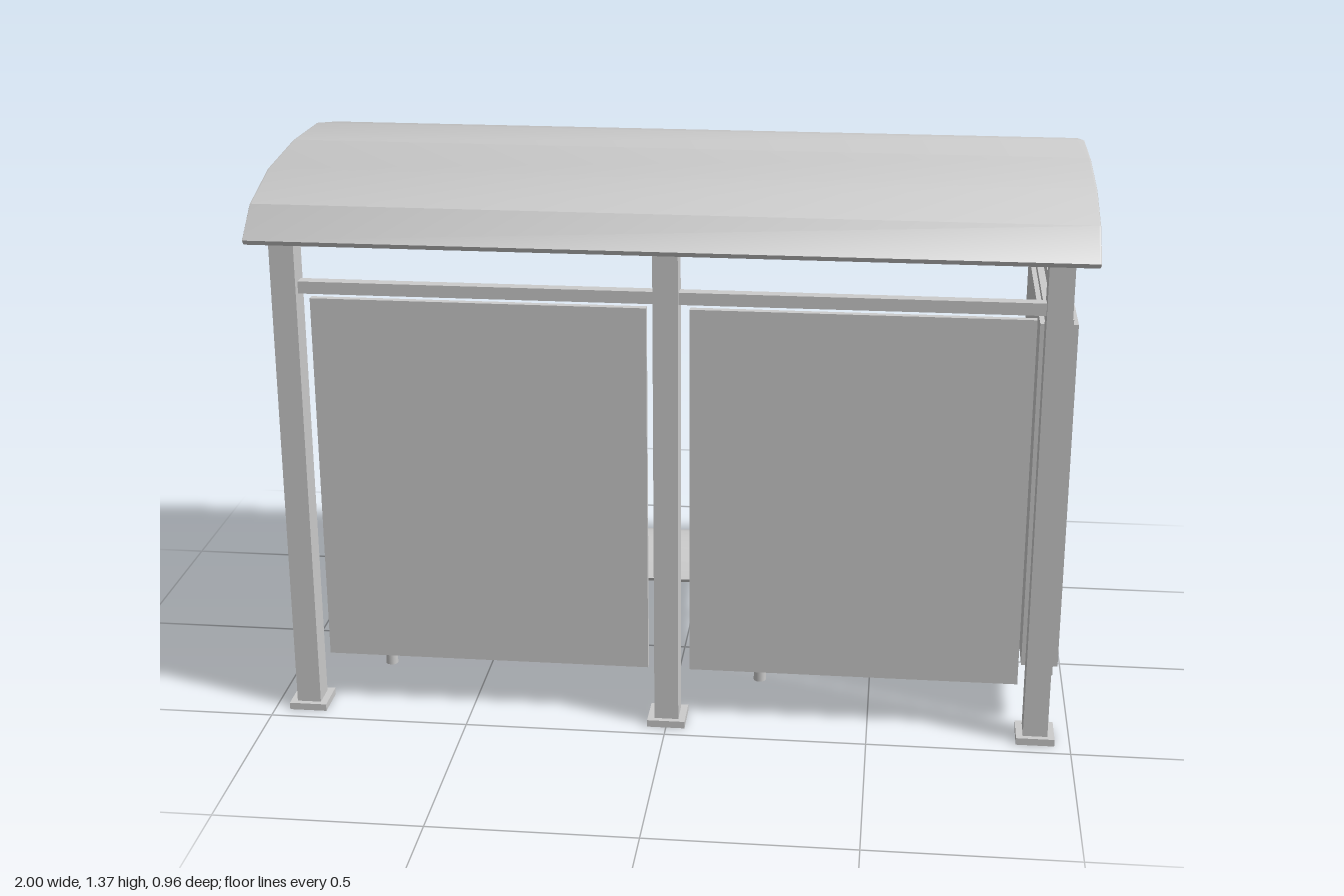
import * as THREE from 'three';
import { toCreasedNormals } from 'three/addons/utils/BufferGeometryUtils.js';

const material = new THREE.MeshStandardMaterial({ color: 0xcccccc });

function add(parent, name, geometry, x = 0, y = 0, z = 0) {
  const mesh = new THREE.Mesh(geometry, material);
  mesh.name = name;
  mesh.position.set(x, y, z);
  parent.add(mesh);
  return mesh;
}

// Box given by its limits on each axis
function block(parent, name, [x0, x1], [y0, y1], [z0, z1]) {
  return add(parent, name, new THREE.BoxGeometry(x1 - x0, y1 - y0, z1 - z0),
    (x0 + x1) / 2, (y0 + y1) / 2, (z0 + z1) / 2);
}

// Side profile of [z, y] points, extruded along x and centred on x = 0
function extrudeAlongX(points, length, bevel, crease) {
  const shape = new THREE.Shape(points.map(([z, y]) => new THREE.Vector2(z, y)));
  const geometry = new THREE.ExtrudeGeometry(shape, {
    depth: length - 2 * bevel, bevelEnabled: bevel > 0, bevelSize: bevel,
    bevelThickness: bevel, bevelOffset: -bevel, bevelSegments: 2,
  });
  geometry.translate(0, 0, bevel - length / 2);
  geometry.rotateY(-Math.PI / 2);
  return toCreasedNormals(geometry, crease);
}

function square(Type, half) {
  return new Type([[-1, -1], [1, -1], [1, 1], [-1, 1]]
    .map(([x, y]) => new THREE.Vector2(x * half, y * half)));
}

// Post with a slanted top, on a foot plate that is recessed underneath
function addPost(parent, name, x, z, frontTop, backTop) {
  const group = new THREE.Group();
  group.name = name;
  group.position.set(x, 0, z);
  const post = new THREE.BoxGeometry(0.06, 1, 0.066);
  const p = post.attributes.position;
  for (let i = 0; i < p.count; i++) {
    const top = p.getZ(i) > 0 ? frontTop : backTop;
    p.setY(i, p.getY(i) > 0 ? top : 0.01);
  }
  post.computeVertexNormals();
  add(group, 'postShaft', post);
  const plate = square(THREE.Shape, 0.047);
  plate.holes.push(square(THREE.Path, 0.029));
  const foot = new THREE.ExtrudeGeometry(plate, { depth: 0.018, bevelEnabled: false });
  foot.rotateX(-Math.PI / 2);
  add(group, 'footPlate', foot);
  parent.add(group);
}

export function createModel() {
  const model = new THREE.Group();
  model.name = 'shelter';

  // Arched roof
  const roofProfile = [
    [0.48, 1.236], [0.4, 1.305], [0.235, 1.352], [0, 1.371], [-0.225, 1.366],
    [-0.41, 1.33], [-0.478, 1.264], [-0.474, 1.253], [-0.22, 1.283],
    [0, 1.289], [0.24, 1.267], [0.472, 1.224],
  ];
  add(model, 'roof', extrudeAlongX(roofProfile, 2, 0.005, 0.4));

  // Three front posts and a single back post
  for (const x of [-0.915, 0, 0.915]) addPost(model, 'frontPost', x, 0.417, 1.23, 1.245);
  addPost(model, 'backPost', 0.915, -0.353, 1.25, 1.212);

  // Rails and glazed panels between the front posts
  for (const side of [-1, 1]) {
    const span = (a, b) => [side * a, side * b].sort((m, n) => m - n);
    block(model, 'frontRail', span(0.03, 0.885), [1.095, 1.125], [0.4, 0.43]);
    block(model, 'frontPanel', span(0.052, 0.868), [0.13, 1.073], [0.376, 0.394]);
  }

  // Left end: rail and framed display case
  block(model, 'sideRail', [0.9, 0.93], [1.095, 1.125], [-0.32, 0.384]);
  block(model, 'displayFrame', [0.89, 0.955], [0.14, 1.065], [-0.297, 0.357]);
  block(model, 'displayPanel', [0.878, 0.968], [0.157, 1.048], [-0.279, 0.339]);

  // Bench: two hoops carrying an arched seat
  const bench = new THREE.Group();
  bench.name = 'bench';
  bench.position.set(-0.275, 0, 0.005);
  model.add(bench);

  const radius = 0.166, spring = 0.19;
  const hoop = new THREE.CurvePath();
  const start = new THREE.Vector3(0, spring, radius);
  const end = new THREE.Vector3(0, spring, -radius);
  hoop.add(new THREE.LineCurve3(new THREE.Vector3(0, 0, radius), start));
  const arc = [];
  for (let i = 0; i <= 12; i++) {
    const a = Math.PI * i / 12;
    arc.push(new THREE.Vector3(0, spring + radius * Math.sin(a), radius * Math.cos(a)));
  }
  hoop.add(new THREE.CatmullRomCurve3(arc));
  hoop.add(new THREE.LineCurve3(end, new THREE.Vector3(0, 0, -radius)));
  for (const x of [-0.49, 0.49]) {
    add(bench, 'benchHoop', new THREE.TubeGeometry(hoop, 48, 0.016, 12), x);
    // Closed ends of the hoop
    for (const z of [-radius, radius]) {
      const cap = new THREE.CircleGeometry(0.016, 12);
      cap.rotateX(Math.PI / 2);
      add(bench, 'hoopEnd', cap, x, 0, z);
    }
  }

  const half = [[0.143, 0.265], [0.108, 0.3], [0.055, 0.317]];
  const top = [...half, [0, 0.322], ...half.map(([z, y]) => [-z, y]).reverse()];
  const under = top.map(([z, y]) => [z * 0.95, y - 0.01]).reverse();
  add(bench, 'benchSeat', extrudeAlongX([...top, ...under], 0.97, 0, 0.6));

  return model;
}
